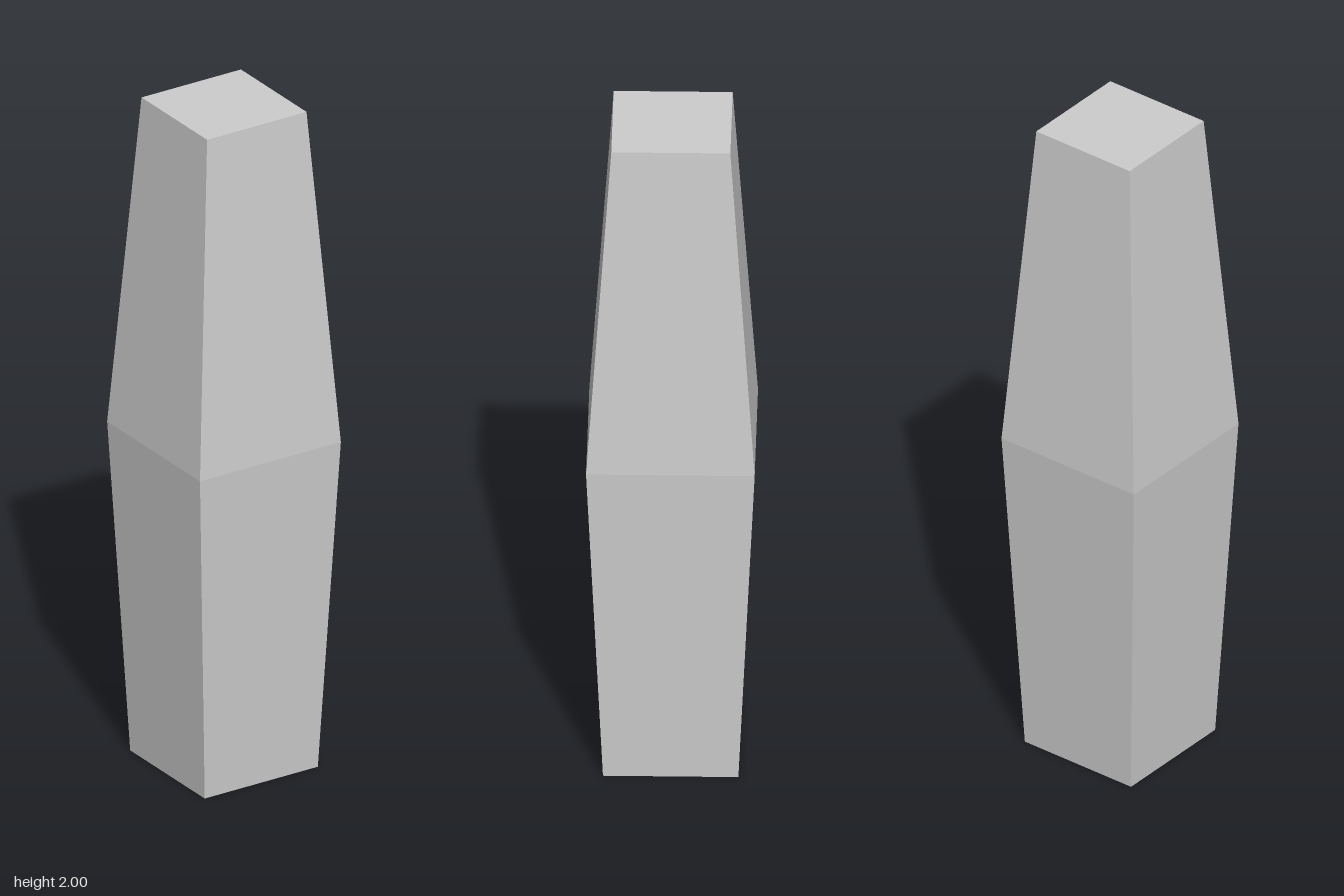
import * as THREE from 'three';

export function createModel() {
  const group = new THREE.Group();
  group.name = 'pillar';

  // Four-sided closed profile: base, widest ring at mid height, narrower flat top
  const profile = [[0, 0], [0.265, 0], [0.33, 1], [0.233, 2], [0, 2]]
    .map(([radius, y]) => new THREE.Vector2(radius, y));

  const body = new THREE.Mesh(
    new THREE.LatheGeometry(profile, 4),
    new THREE.MeshStandardMaterial({ color: 0xcccccc, flatShading: true })
  );
  body.name = 'pillarBody';
  group.add(body);

  return group;
}
